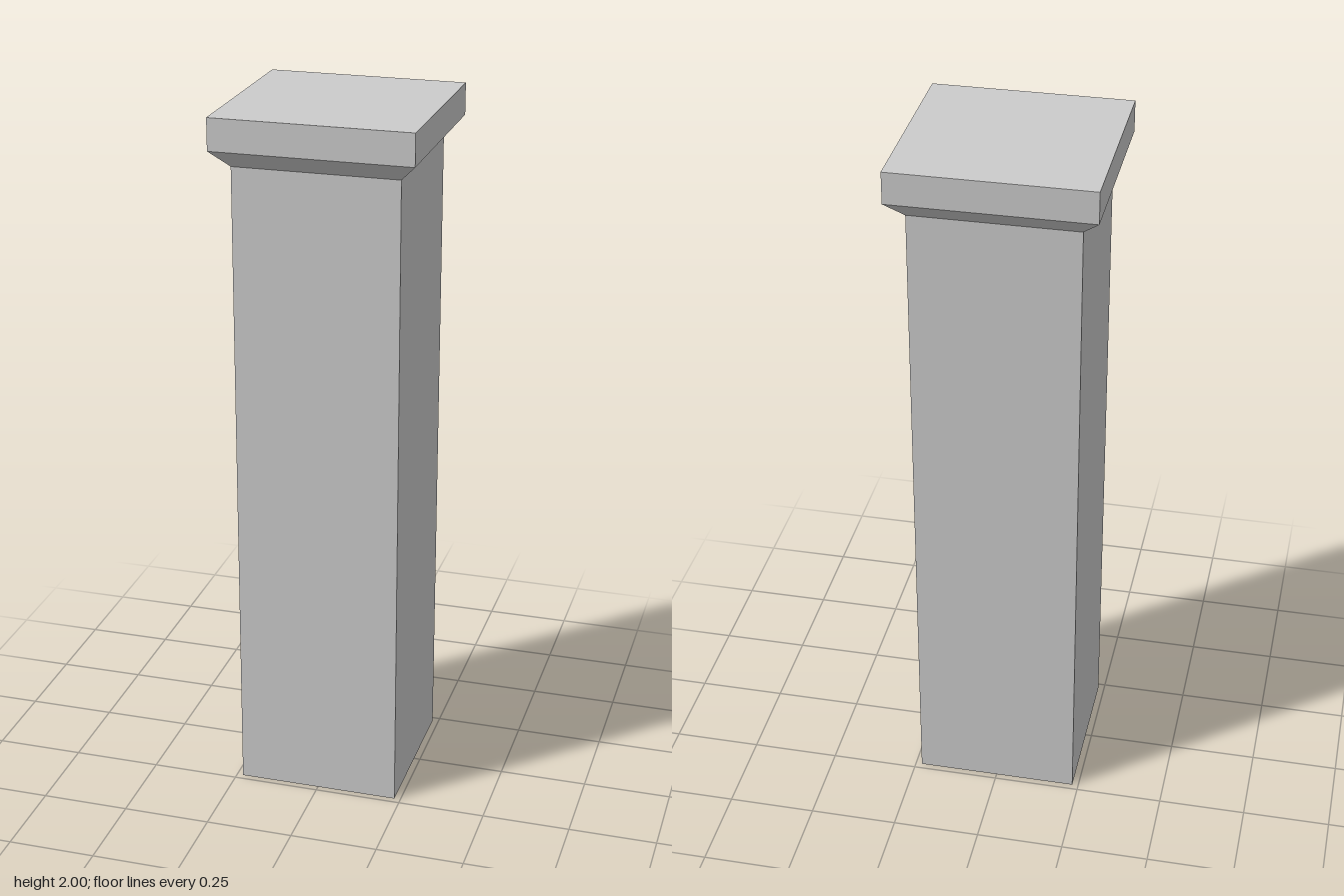
import * as THREE from 'three';

const SHAFT = 0.232; // half-width of the shaft
const CAP = 0.28;    // half-width of the cap

const material = new THREE.MeshStandardMaterial({ color: 0xcccccc, flatShading: true });

// Sweeps a [half-width, height] profile, listed bottom to top, around a square plan.
function squarePart(name, profile) {
  const points = profile.map(([half, y]) => new THREE.Vector2(half * Math.SQRT2, y));
  const mesh = new THREE.Mesh(new THREE.LatheGeometry(points, 4, Math.PI / 4), material);
  mesh.name = name;
  return mesh;
}

export function createModel() {
  const pillar = new THREE.Group();
  pillar.name = 'pillar';
  pillar.add(
    // Plain square shaft, closed underneath
    squarePart('shaft', [[0, 0], [SHAFT, 0], [SHAFT, 1.86]]),
    // Sloped moulding widening to the cap
    squarePart('flare', [[SHAFT, 1.86], [CAP, 1.91]]),
    // Flat slab closing the top
    squarePart('cap', [[CAP, 1.91], [CAP, 2], [0, 2]]),
  );
  return pillar;
}
